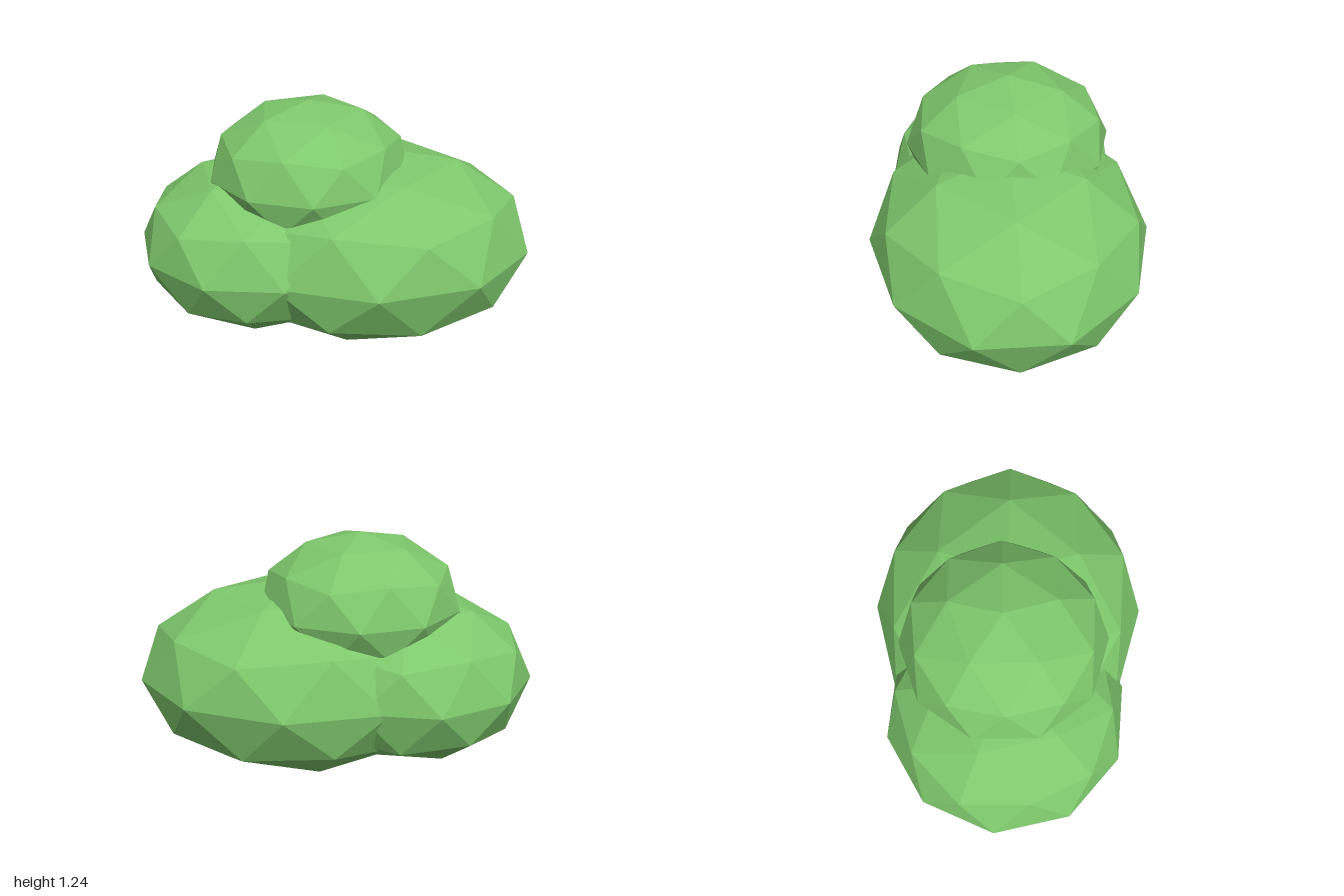
import * as THREE from 'three';

// Tilt that stands an icosahedron on one of its corners
const CORNER_UP = -Math.atan(2 / (1 + Math.sqrt(5)));

// name, centre, radii, turn about the vertical
const LOBES = [
  ['largeFoliageLobe', [0.21, 0.5, 0], [0.83, 0.5, 0.715], 0],
  ['sideFoliageLobe', [-0.37, 0.5, 0], [0.63, 0.436, 0.63], 0.236],
  ['topFoliageLobe', [-0.11, 0.88, -0.015], [0.52, 0.364, 0.52], 0.04],
];

export function createModel() {
  const bush = new THREE.Group();
  bush.name = 'bush';
  const leaf = new THREE.MeshStandardMaterial({ color: 0x7ec86c, flatShading: true });

  // Three overlapping, squashed low-poly balls
  for (const [name, centre, radii, turn] of LOBES) {
    const geometry = new THREE.IcosahedronGeometry(1, 1);
    geometry.rotateZ(CORNER_UP).rotateY(turn).scale(...radii);
    geometry.computeVertexNormals();
    const lobe = new THREE.Mesh(geometry, leaf);
    lobe.name = name;
    lobe.position.set(...centre);
    bush.add(lobe);
  }
  return bush;
}
